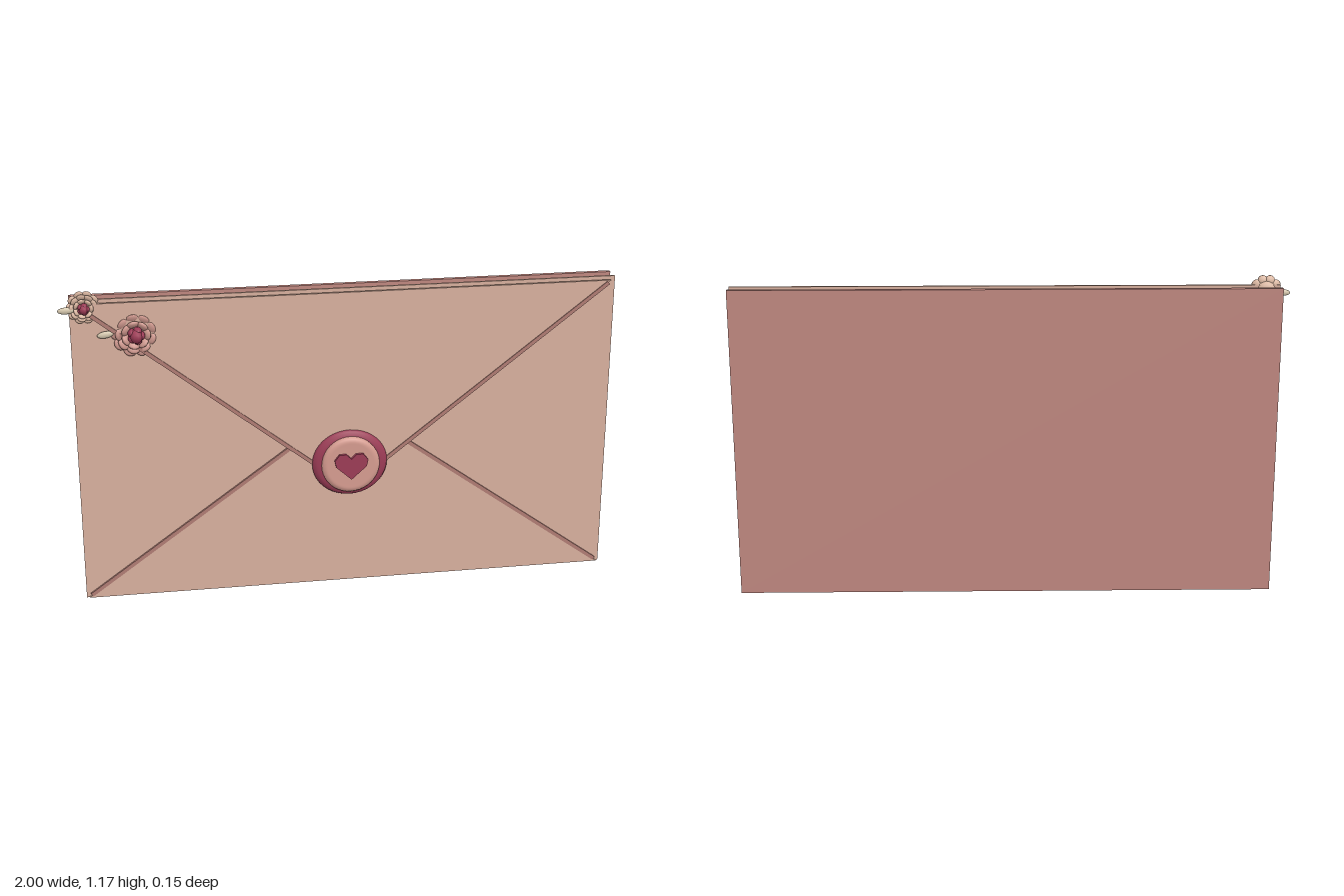
import * as THREE from 'three';

const mat = (name, color) => new THREE.MeshStandardMaterial({ name, color });
const peach = mat('peach paper', 0xd8b09e);
const rosePaper = mat('rose paper', 0xc08880);
const cream = mat('cream letter', 0xdfc4a8);
const trim = mat('fold trim', 0xb07c74);
const wine = mat('wine wax', 0x9c3c56);
const blush = mat('blush wax', 0xd69c90);
const petalPink = mat('pink petal', 0xcf988e);
const petalPale = mat('pale petal', 0xdcb8a2);
const leafMat = mat('pale leaf', 0xd8cab0);

const CX = 0.02; // envelope centre in x

function add(parent, name, geo, material, x = 0, y = 0, z = 0) {
  const m = new THREE.Mesh(geo, material);
  m.name = name;
  m.position.set(x, y, z);
  parent.add(m);
  return m;
}

// Flat plate cut from an outline
function plate(points, depth) {
  const shape = new THREE.Shape(points.map(p => new THREE.Vector2(p[0], p[1])));
  return new THREE.ExtrudeGeometry(shape, { depth, bevelEnabled: false });
}

// Thin strip between two points on the envelope face
function strip(parent, name, a, b, z, depth) {
  const dx = b[0] - a[0], dy = b[1] - a[1];
  const m = add(parent, name, new THREE.BoxGeometry(Math.hypot(dx, dy), 0.014, depth), trim,
    (a[0] + b[0]) / 2, (a[1] + b[1]) / 2, z);
  m.rotation.z = Math.atan2(dy, dx);
}

// Rose made of rings of flattened petals around a wine bud
function rose(name, x, y, r, petal) {
  const g = new THREE.Group();
  g.name = name;
  g.position.set(x, y, 0);
  const geo = new THREE.SphereGeometry(1, 10, 8);
  const rings = [
    { n: 10, rad: 0.74, z: -0.02, s: 0.27, tilt: 0.35 },
    { n: 9, rad: 0.6, z: 0.12, s: 0.27, tilt: 0.65 },
    { n: 7, rad: 0.42, z: 0.3, s: 0.24, tilt: 0.95 },
  ];
  rings.forEach((ring, k) => {
    for (let i = 0; i < ring.n; i++) {
      const spoke = new THREE.Group();
      spoke.rotation.z = (i + k * 0.5) / ring.n * Math.PI * 2;
      const p = add(spoke, 'petal', geo, petal, ring.rad * r, 0, ring.z * r);
      p.scale.set(ring.s * r, ring.s * 1.05 * r, 0.12 * r);
      p.rotation.y = -ring.tilt;
      g.add(spoke);
    }
  });
  // Back cup and bud
  add(g, 'cup', geo, petal, 0, 0, -0.08 * r).scale.set(0.65 * r, 0.65 * r, 0.3 * r);
  add(g, 'bud', geo, wine, 0, 0, 0.5 * r).scale.set(0.27 * r, 0.3 * r, 0.38 * r);
  for (let i = 0; i < 5; i++) {
    const a = i / 5 * Math.PI * 2;
    const p = add(g, 'budPetal', geo, wine, Math.cos(a) * 0.22 * r, Math.sin(a) * 0.22 * r, 0.45 * r);
    p.scale.set(0.14 * r, 0.17 * r, 0.28 * r);
    p.rotation.z = a;
  }
  return g;
}

function leaf(parent, x, y, angle, len) {
  const m = add(parent, 'leaf', new THREE.SphereGeometry(1, 10, 6), leafMat, x, y, 0.012);
  m.scale.set(len, len * 0.42, 0.008);
  m.rotation.z = angle;
}

export function createModel() {
  const root = new THREE.Group();
  root.name = 'envelope';

  // Back panel, letter and front panel
  add(root, 'backPanel', new THREE.BoxGeometry(1.96, 1.14, 0.018), rosePaper, CX, 0.57, -0.066);
  add(root, 'letter', new THREE.BoxGeometry(1.69, 0.98, 0.012), cream, CX, 0.62, -0.035);
  for (let i = 0; i < 5; i++) {
    add(root, 'letterLine', new THREE.BoxGeometry(1.15, 0.008, 0.003), trim, CX, 0.36 + i * 0.103, -0.028);
  }
  add(root, 'frontPanel', new THREE.BoxGeometry(1.96, 1.14, 0.01), peach, CX, 0.57, -0.007);

  // Bottom and top flaps
  add(root, 'bottomFlap', plate([[CX - 0.97, 0.003], [CX + 0.97, 0.003], [CX, 0.7]], 0.01), peach, 0, 0, -0.001);
  add(root, 'topFlap', plate([[CX - 0.96, 1.13], [CX, 0.38], [CX + 0.96, 1.13]], 0.01), peach, 0, 0, 0.01);

  // Trim along the flap edges
  for (const s of [-1, 1]) {
    strip(root, 'bottomFold', [CX + s * 0.96, 0.014], [CX + s * 0.2, 0.56], 0.007, 0.009);
    strip(root, 'topFold', [CX + s * 0.95, 1.122], [CX, 0.385], 0.017, 0.014);
  }

  // Wax seal
  const seal = new THREE.Group();
  seal.name = 'waxSeal';
  seal.position.set(CX, 0.485, 0);
  root.add(seal);
  const turn = pts => new THREE.LatheGeometry(pts.map(p => new THREE.Vector2(p[0], p[1])), 40).rotateX(Math.PI / 2);
  add(seal, 'sealRim', turn([[0, 0.008], [0.122, 0.008], [0.134, 0.013], [0.139, 0.022],
    [0.134, 0.032], [0.122, 0.038], [0.108, 0.041], [0, 0.041]]), wine).scale.y = 0.91;
  add(seal, 'sealFace', turn([[0.106, 0.03], [0.107, 0.046], [0.101, 0.054], [0.09, 0.057],
    [0.084, 0.056], [0, 0.056]]), blush);

  // Faceted heart
  const half = [[0, 0.028], [0.018, 0.046], [0.044, 0.046], [0.062, 0.022], [0.056, -0.002]];
  const heart = [[0, -0.052], ...half.slice().reverse(), ...half.slice(1).map(p => [-p[0], p[1]])];
  add(seal, 'heart', plate(heart, 0.012), wine, 0, 0, 0.055);

  // Corner roses and leaves
  root.add(rose('largeRose', -0.735, 1.015, 0.088, petalPink));
  root.add(rose('smallRose', -0.91, 1.115, 0.06, petalPale));
  leaf(root, -0.84, 1.015, 0.15, 0.03);
  leaf(root, -0.97, 1.108, 0.05, 0.03);

  return root;
}
